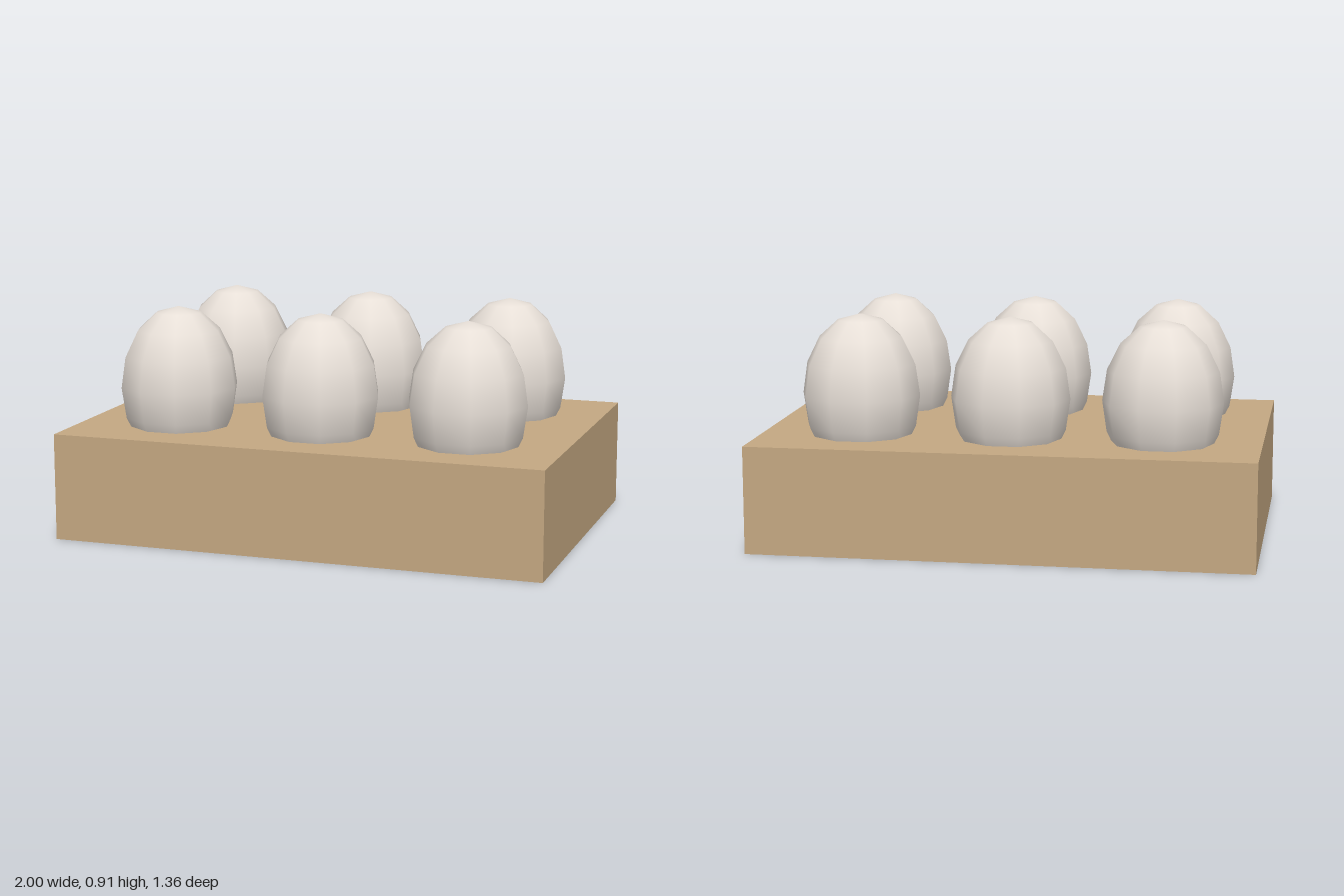
import * as THREE from 'three';

export function createModel() {
  const model = new THREE.Group();
  model.name = 'eggTray';

  const cardboard = new THREE.MeshStandardMaterial({ color: 0xc4a882 });
  cardboard.name = 'cardboard';
  const shell = new THREE.MeshStandardMaterial({ color: 0xe8e0d8 });
  shell.name = 'eggshell';

  // Solid tray
  const trayHeight = 0.43;
  const tray = new THREE.Mesh(new THREE.BoxGeometry(2, trayHeight, 1.36), cardboard);
  tray.name = 'tray';
  tray.position.y = trayHeight / 2;
  model.add(tray);

  // Two rows of three eggs, sunk into the tray
  const eggGeometry = new THREE.SphereGeometry(0.24, 10, 8).scale(1, 1.35, 1);
  const eggs = new THREE.Group();
  eggs.name = 'eggs';
  for (const z of [-0.322, 0.322]) {
    for (const x of [-0.606, 0, 0.606]) {
      const egg = new THREE.Mesh(eggGeometry, shell);
      egg.name = 'egg';
      egg.position.set(x, 0.59, z);
      eggs.add(egg);
    }
  }
  model.add(eggs);

  return model;
}
